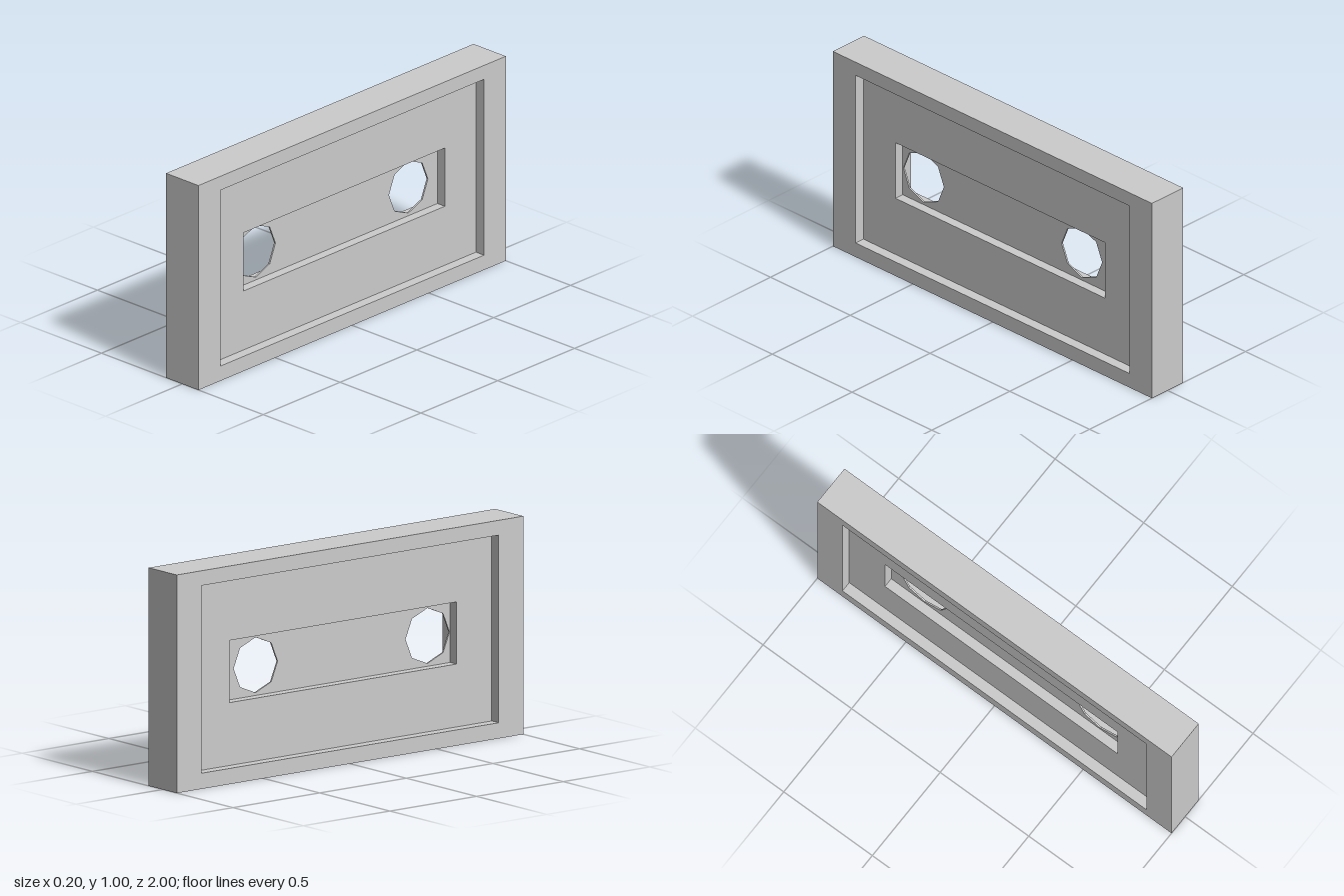
import * as THREE from 'three';

const material = new THREE.MeshStandardMaterial({ color: 0xcccccc, flatShading: true });

// Rectangle outline in the z-y plane
const rectangle = (z0, z1, y0, y1) => [[z0, y0], [z1, y0], [z1, y1], [z0, y1]].map(([z, y]) => new THREE.Vector2(z, y));

// Eight-sided outline with corners on the axes
const octagon = (z, y, r) => Array.from({ length: 8 }, (_, i) => {
  const a = i * Math.PI / 4;
  return new THREE.Vector2(z + r * Math.cos(a), y + r * Math.sin(a));
});

// Plate with holes, centred on x = 0
function plate(name, outline, holes, thickness) {
  const shape = new THREE.Shape(outline);
  shape.holes = holes.map((points) => new THREE.Path(points));
  const geometry = new THREE.ExtrudeGeometry(shape, { depth: thickness, bevelEnabled: false });
  geometry.translate(0, 0, -thickness / 2);
  geometry.rotateY(-Math.PI / 2);
  const mesh = new THREE.Mesh(geometry, material);
  mesh.name = name;
  return mesh;
}

export function createModel() {
  const group = new THREE.Group();
  group.name = 'recessedBlock';

  const outer = rectangle(-1, 1, 0, 1);
  const recess = rectangle(-0.858, 0.858, 0.072, 0.932);
  const slot = rectangle(-0.656, 0.656, 0.36, 0.645);
  const bores = [0.525, -0.467].map((z) => octagon(z, 0.5, 0.127));

  // Each step inwards is sunk equally on both faces
  group.add(
    plate('outerFrame', outer, [recess], 0.2),
    plate('recessedPanel', recess, [slot], 0.1),
    plate('slotFloor', slot, bores, 0.008),
  );
  return group;
}
